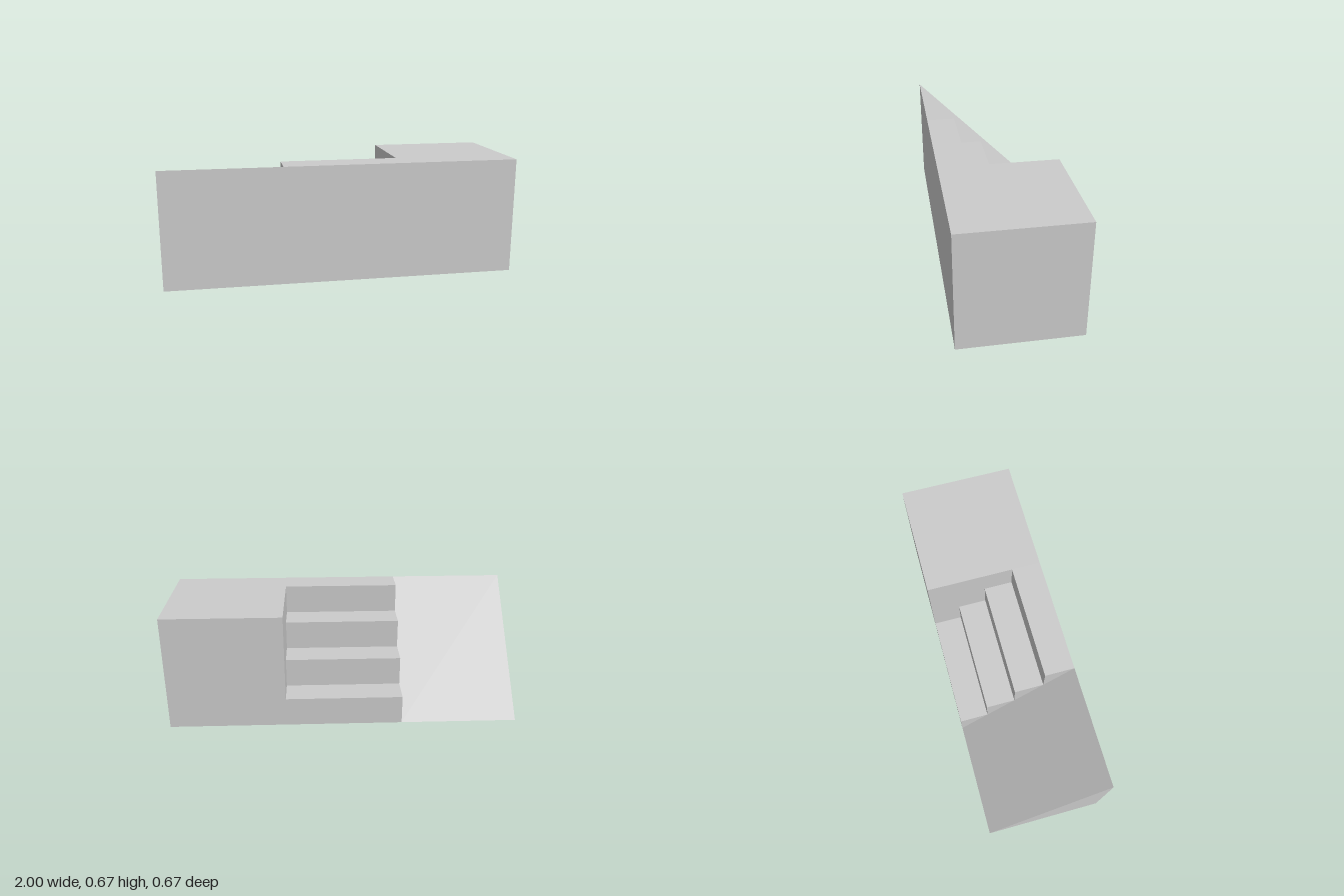
import * as THREE from 'three';

const T = 2 / 3;        // section width, depth and height
const H = T / 2;        // half depth
const STEPS = 4;

export function createModel() {
  const model = new THREE.Group();
  model.name = 'stairsAndRamp';
  const material = new THREE.MeshStandardMaterial({ color: 0xcccccc, flatShading: true });

  // Extrudes a side profile of [z, y] points along x, starting at x0
  function section(name, profile, x0) {
    const shape = new THREE.Shape(profile.map(([z, y]) => new THREE.Vector2(-z, y)));
    const geometry = new THREE.ExtrudeGeometry(shape, { depth: T, bevelEnabled: false });
    geometry.rotateY(Math.PI / 2);
    geometry.translate(x0, 0, 0);
    const mesh = new THREE.Mesh(geometry, material);
    mesh.name = name;
    model.add(mesh);
  }

  // Ramp rising from the back to the front
  section('ramp', [[H, 0], [-H, 0], [H, T]], -1);

  // Stairs climbing from the back to the front
  const stairs = [[H, 0], [-H, 0]];
  for (let i = 0; i < STEPS; i++) {
    const y = (T * (i + 1)) / STEPS;
    stairs.push([-H + (T * i) / STEPS, y], [-H + (T * (i + 1)) / STEPS, y]);
  }
  section('stairs', stairs, -H);

  // Solid platform block
  section('platform', [[H, 0], [-H, 0], [-H, T], [H, T]], H);

  return model;
}
